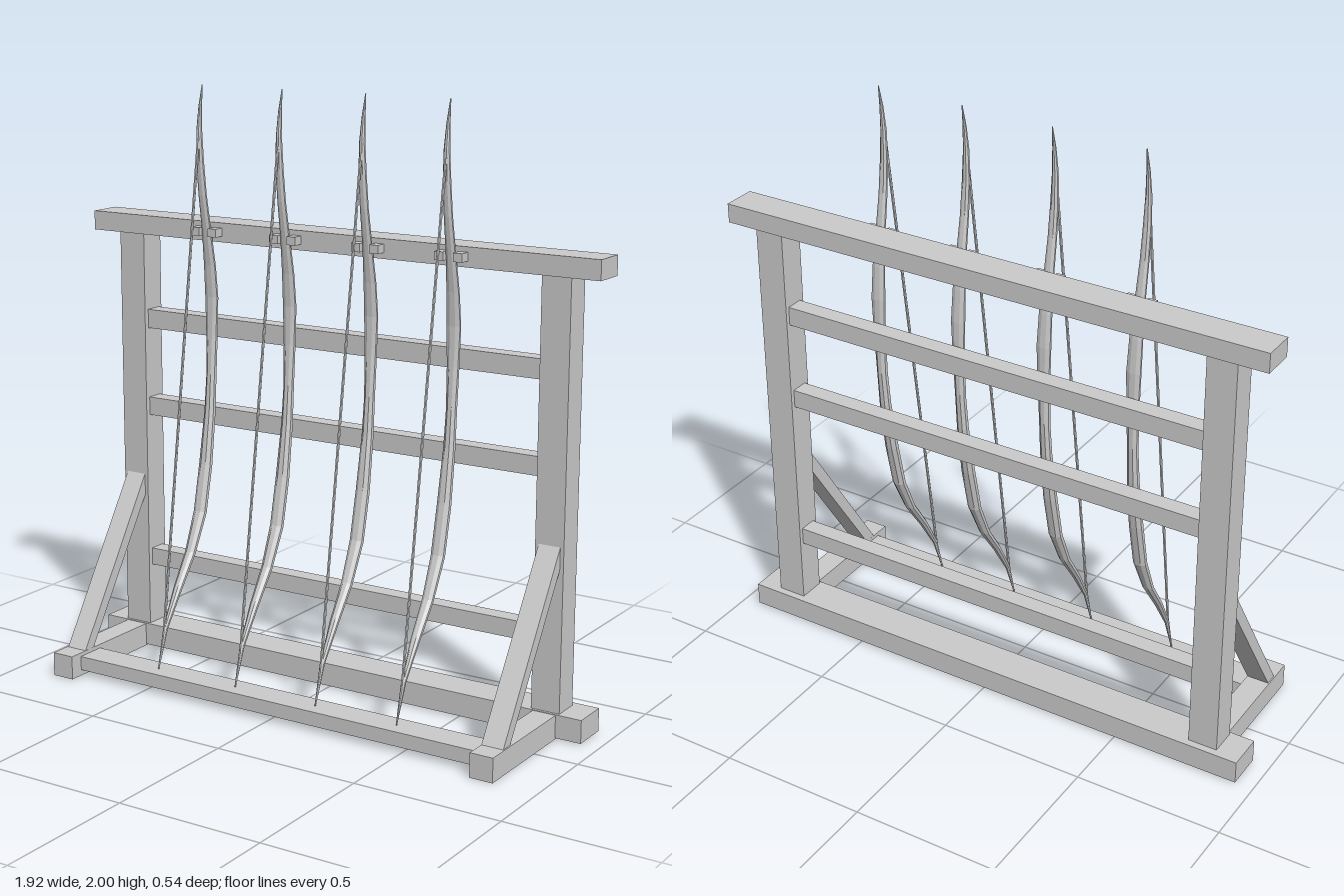
import * as THREE from 'three';

const material = new THREE.MeshStandardMaterial({ color: 0xcccccc, flatShading: true, side: THREE.DoubleSide });

// Box given by its extents on each axis
function beam(name, [x0, x1], [y0, y1], [z0, z1]) {
  const mesh = new THREE.Mesh(new THREE.BoxGeometry(x1 - x0, y1 - y0, z1 - z0), material);
  mesh.position.set((x0 + x1) / 2, (y0 + y1) / 2, (z0 + z1) / 2);
  mesh.name = name;
  return mesh;
}

// Limb stations from bottom tip to top tip: y, z, width, depth
const stations = [
  [0.07, 0.18, 0.004, 0.006],
  [0.20, 0.138, 0.016, 0.018],
  [0.32, 0.067, 0.032, 0.024],
  [0.43, -0.008, 0.04, 0.028],
  [0.56, -0.068, 0.049, 0.032],
  [0.72, -0.103, 0.049, 0.034],
  [0.90, -0.131, 0.04, 0.034],
  [1.02, -0.141, 0.036, 0.032],
  [1.16, -0.147, 0.043, 0.026],
  [1.29, -0.148, 0.052, 0.02],
  [1.40, -0.139, 0.047, 0.018],
  [1.52, -0.122, 0.036, 0.018],
  [1.64, -0.102, 0.031, 0.018],
  [1.75, -0.09, 0.028, 0.02],
  [1.85, -0.087, 0.02, 0.02],
  [1.93, -0.094, 0.012, 0.013],
  [2.00, -0.106, 0.003, 0.004],
];

// Curved limb: eight-sided loops joined along the stations
function limbGeometry() {
  const sides = 8, positions = [], index = [];
  stations.forEach(([y, z, w, d], i) => {
    const a = stations[Math.max(i - 1, 0)], b = stations[Math.min(i + 1, stations.length - 1)];
    const len = Math.hypot(b[0] - a[0], b[1] - a[1]);
    const ty = (b[0] - a[0]) / len, tz = (b[1] - a[1]) / len;
    for (let s = 0; s < sides; s++) {
      const t = ((s + 0.5) / sides) * Math.PI * 2;
      const u = (Math.cos(t) * w) / 2, v = (Math.sin(t) * d) / 2;
      positions.push(u, y - v * tz, z + v * ty);
      if (i > 0) {
        const n = (s + 1) % sides, p = (i - 1) * sides, q = i * sides;
        index.push(p + s, q + s, p + n, p + n, q + s, q + n);
      }
    }
  });
  const last = (stations.length - 1) * sides;
  for (let s = 1; s < sides - 1; s++) index.push(0, s, s + 1, last, last + s + 1, last + s);
  const geometry = new THREE.BufferGeometry();
  geometry.setAttribute('position', new THREE.Float32BufferAttribute(positions, 3));
  geometry.setIndex(index);
  geometry.computeVertexNormals();
  return geometry;
}

// Diagonal brace, profile drawn in the z-y plane and extruded along x
function braceGeometry(width) {
  const shape = new THREE.Shape([
    new THREE.Vector2(0.2, 0.08), new THREE.Vector2(-0.155, 0.635),
    new THREE.Vector2(-0.155, 0.56), new THREE.Vector2(0.155, 0.08),
  ]);
  const geometry = new THREE.ExtrudeGeometry(shape, { depth: width, bevelEnabled: false });
  geometry.translate(0, 0, -width / 2);
  geometry.rotateY(-Math.PI / 2);
  return geometry;
}

export function createModel() {
  const group = new THREE.Group();
  group.name = 'bowRack';

  // Long horizontal timbers
  group.add(beam('topBeam', [-0.96, 0.96], [1.48, 1.545], [-0.255, -0.14]));
  group.add(beam('baseBeam', [-0.94, 0.94], [0.005, 0.083], [-0.27, -0.142]));
  group.add(beam('frontShelf', [-0.77, 0.77], [0.02, 0.068], [0.12, 0.225]));
  for (const [y0, y1] of [[0.297, 0.357], [0.842, 0.905], [1.15, 1.215]]) {
    group.add(beam('rail', [-0.76, 0.76], [y0, y1], [-0.23, -0.17]));
  }

  // Posts, feet and braces on both sides
  for (const [side, label] of [[1, 'left'], [-1, 'right']]) {
    const span = (a, b) => (side > 0 ? [a, b] : [-b, -a]);
    group.add(beam(label + 'Post', span(0.758, 0.858), [0.08, 1.482], [-0.245, -0.152]));
    group.add(beam(label + 'Foot', span(0.77, 0.85), [0, 0.081], [-0.26, 0.273]));
    const brace = new THREE.Mesh(braceGeometry(0.075), material);
    brace.position.x = side * 0.808;
    brace.name = label + 'Brace';
    group.add(brace);
  }

  // Bows with strings, each held by a pair of pegs
  const limb = limbGeometry();
  const top = new THREE.Vector3(0, 1.82, -0.08), bottom = new THREE.Vector3(0, 0.18, 0.148);
  const string = new THREE.TubeGeometry(new THREE.LineCurve3(bottom, top), 1, 0.005, 6);
  for (const x of [-0.472, -0.158, 0.155, 0.458]) {
    const bow = new THREE.Group();
    bow.name = 'bow';
    bow.position.x = x;
    const limbMesh = new THREE.Mesh(limb, material);
    limbMesh.name = 'bowLimb';
    const stringMesh = new THREE.Mesh(string, material);
    stringMesh.name = 'bowString';
    bow.add(limbMesh, stringMesh);
    for (const s of [-1, 1]) {
      const c = s * 0.034;
      bow.add(beam('peg', [c - 0.016, c + 0.016], [1.5, 1.528], [-0.145, -0.103]));
    }
    group.add(bow);
  }
  return group;
}
